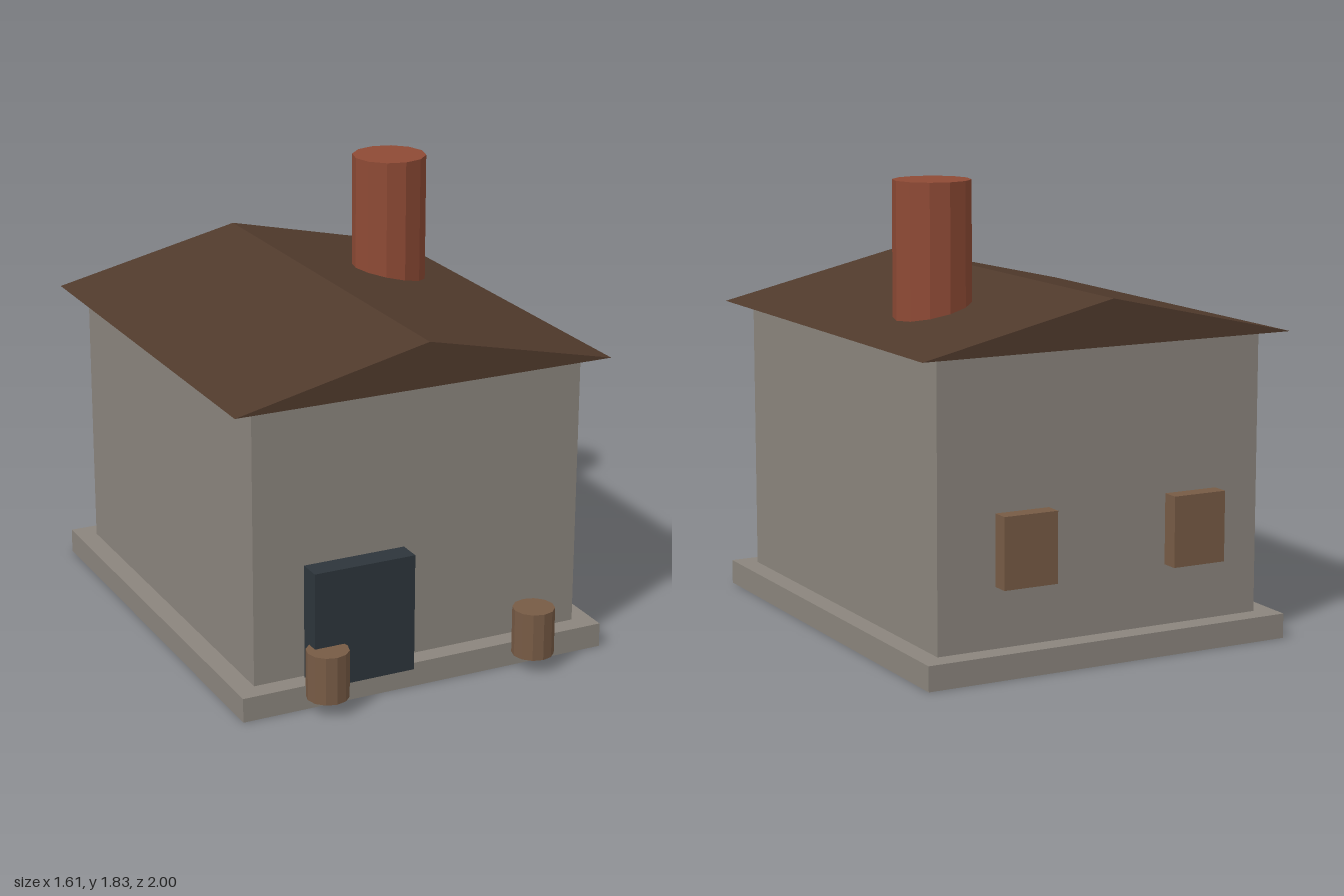
import * as THREE from 'three';

const flat = (name, color) => {
  const m = new THREE.MeshStandardMaterial({ color, flatShading: true });
  m.name = name;
  return m;
};

export function createModel() {
  const house = new THREE.Group();
  house.name = 'house';

  const stone = flat('stone grey', 0x8b857d);
  const shingle = flat('roof brown', 0x503a2c);
  const brick = flat('brick red', 0x8e4a35);
  const wood = flat('wood brown', 0x775b45);
  const slate = flat('door slate', 0x2d353b);

  const add = (name, geometry, material) => {
    const mesh = new THREE.Mesh(geometry, material);
    mesh.name = name;
    house.add(mesh);
    return mesh;
  };

  // Box given by its lower and upper limits on each axis
  const box = (name, material, [x0, x1], [y0, y1], [z0, z1]) =>
    add(name, new THREE.BoxGeometry(x1 - x0, y1 - y0, z1 - z0), material)
      .position.set((x0 + x1) / 2, (y0 + y1) / 2, (z0 + z1) / 2);

  // Upright twelve-sided post
  const post = (name, material, radius, x, z, y0, y1) =>
    add(name, new THREE.CylinderGeometry(radius, radius, y1 - y0, 12), material)
      .position.set(x, (y0 + y1) / 2, z);

  // Plinth and walls
  box('foundation', stone, [-0.793, 0.793], [0, 0.1], [-1, 0.87]);
  box('walls', stone, [-0.71, 0.71], [0.1, 1.235], [-0.91, 0.787]);

  // Gabled roof with overhanging eaves
  const gable = new THREE.Shape([
    new THREE.Vector2(-0.807, 1.235),
    new THREE.Vector2(0.807, 1.235),
    new THREE.Vector2(0, 1.417),
  ]);
  add('roof', new THREE.ExtrudeGeometry(gable, { depth: 1.845, bevelEnabled: false }), shingle)
    .position.z = -0.987;

  // Chimney rising out of the right-hand slope
  post('chimney', brick, 0.155, 0.425, -0.32, 1.24, 1.83);

  // Door, standing just proud of the front wall
  box('door', slate, [-0.5, -0.07], [0.085, 0.57], [0.797, 0.893]);

  // Barrels either side of the entrance
  for (const x of [-0.455, 0.455]) post('barrel', wood, 0.085, x, 0.912, 0.06, 0.257);

  // Shutters on the back wall
  for (const x of [-0.395, 0.355])
    box('shutter', wood, [x - 0.115, x + 0.115], [0.345, 0.628], [-0.993, -0.922]);

  return house;
}
